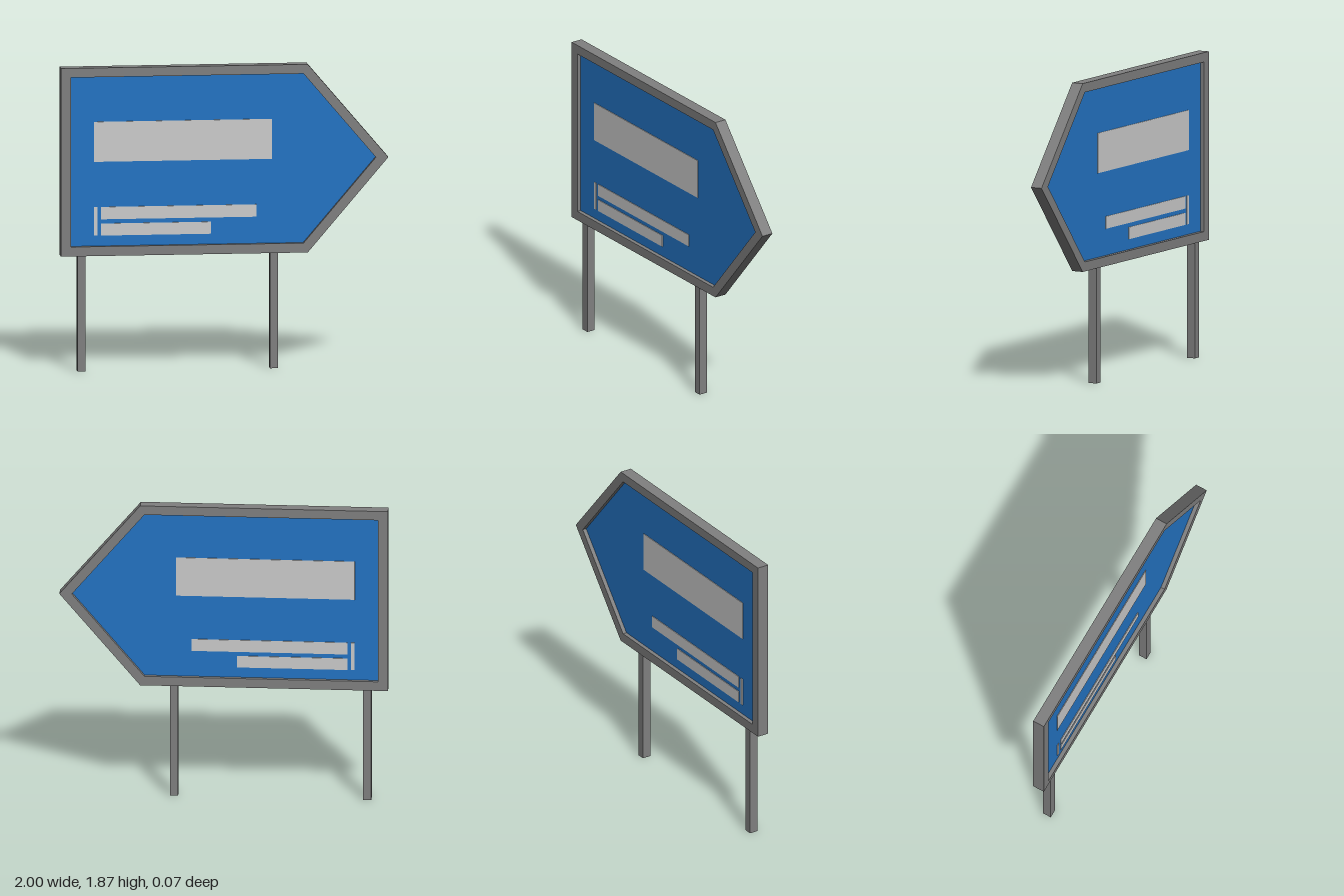
import * as THREE from 'three';

const FRAME_DEPTH = 0.074;
const PANEL_DEPTH = 0.024;
const LABEL_DEPTH = 0.004;

// Arrow-ended board outline: [x, y] corners
const OUTER = [[-1, 0.71], [0.508, 0.71], [1, 1.288], [0.508, 1.867], [-1, 1.867]];
const INNER = [[-0.94, 0.768], [0.482, 0.768], [0.924, 1.288], [0.482, 1.81], [-0.94, 1.81]];

// Blank lettering plates: [name, x0, x1, y0, y1]
const LABELS = [
  ['mainLabel', -0.797, 0.291, 1.286, 1.532],
  ['labelDivider', -0.795, -0.774, 0.832, 1.008],
  ['upperLabel', -0.753, 0.196, 0.932, 1.008],
  ['lowerLabel', -0.753, -0.08, 0.832, 0.906],
];

const toPoints = (corners) => corners.map(([x, y]) => new THREE.Vector2(x, y));

function makeMaterial(name, color) {
  const material = new THREE.MeshStandardMaterial({ color });
  material.name = name;
  return material;
}

// Extrusion centred on z = 0
function slab(shape, depth) {
  return new THREE.ExtrudeGeometry(shape, { depth, bevelEnabled: false }).translate(0, 0, -depth / 2);
}

export function createModel() {
  const metal = makeMaterial('greyMetal', 0x808080);
  const blue = makeMaterial('signBlue', 0x2474c4);
  const pale = makeMaterial('paleGrey', 0xcccccc);

  const model = new THREE.Group();
  model.name = 'directionSign';

  function add(name, geometry, material, x = 0, y = 0, z = 0) {
    const mesh = new THREE.Mesh(geometry, material);
    mesh.name = name;
    mesh.position.set(x, y, z);
    model.add(mesh);
  }

  // Frame with an arrow-shaped opening
  const frameShape = new THREE.Shape(toPoints(OUTER));
  frameShape.holes.push(new THREE.Path(toPoints(INNER)));
  add('frame', slab(frameShape, FRAME_DEPTH), metal);

  // Panel recessed on both sides
  add('panel', slab(new THREE.Shape(toPoints(INNER)), PANEL_DEPTH), blue);

  // Plates on the front and the back of the panel
  for (const [name, x0, x1, y0, y1] of LABELS) {
    for (const side of [1, -1]) {
      add(
        name + (side > 0 ? 'Front' : 'Back'),
        new THREE.BoxGeometry(x1 - x0, y1 - y0, LABEL_DEPTH),
        pale,
        (x0 + x1) / 2, (y0 + y1) / 2, side * (PANEL_DEPTH + LABEL_DEPTH) / 2
      );
    }
  }

  // Two square posts
  for (const [name, x] of [['rightPost', -0.873], ['leftPost', 0.303]]) {
    add(name, new THREE.BoxGeometry(0.05, 0.71, 0.054), metal, x, 0.355, 0);
  }

  return model;
}
